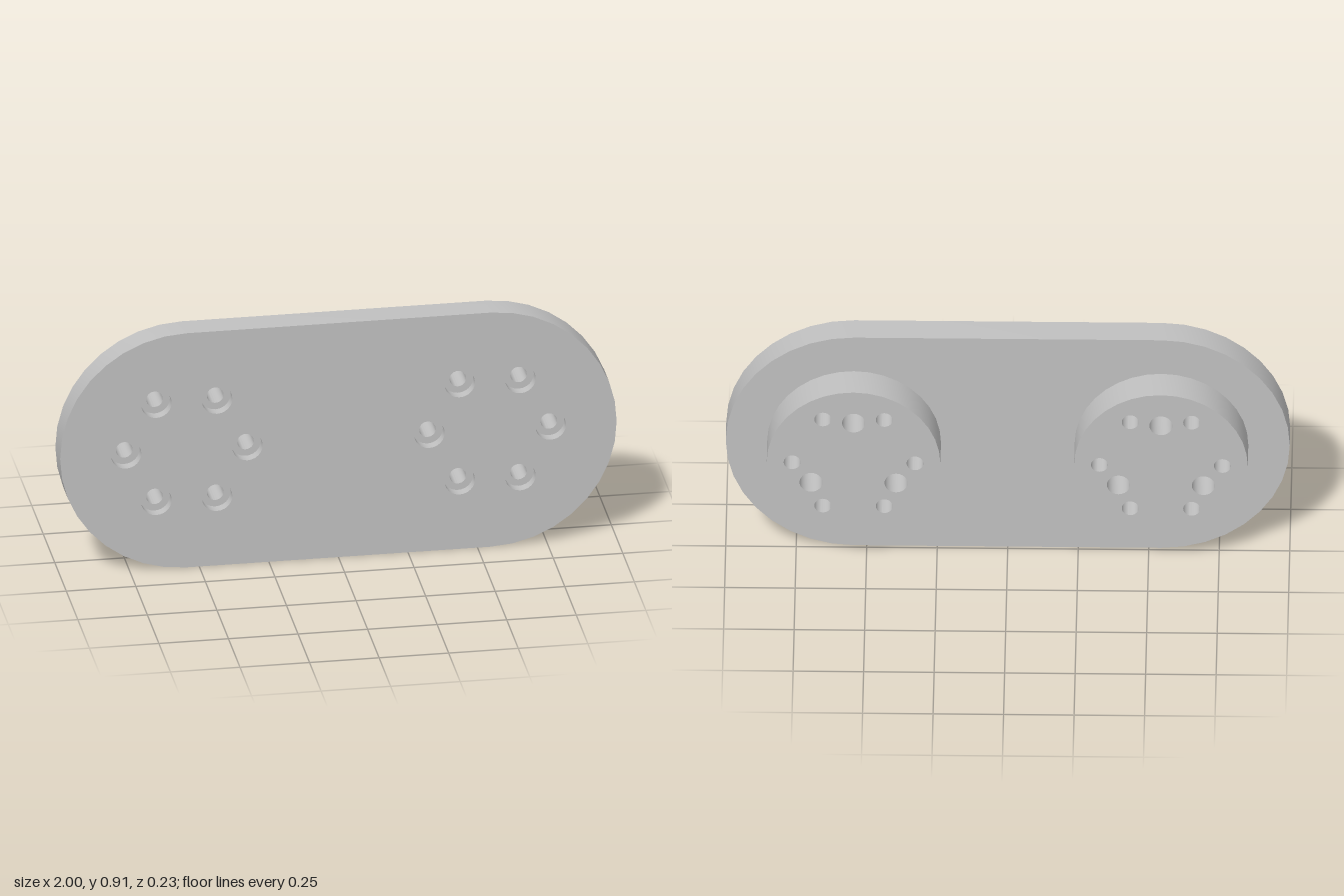
import * as THREE from 'three';
import { toCreasedNormals } from 'three/addons/utils/BufferGeometryUtils.js';

const R = 0.455, CX = 0.545, CY = 0.455;          // plate end radius, hub centres
const FRONT = 0.117, MID = 0.012, BACK = -0.117;  // z levels
const HUB_R = 0.308, HUB_SEG = 36;
const BOLT_R = 0.03, BORE_R = 0.055, BORE_Z = 0.077, BOLT_CIRCLE = 0.218;
const PIN_R = 0.041, PIN_CIRCLE = 0.174;
const HOLE_SEG = 24;

// Points along an arc, end point included
function arc(cx, cy, r, n, a0, a1) {
  const pts = [];
  for (let i = 0; i <= n; i++) {
    const a = a0 + (a1 - a0) * i / n;
    pts.push(new THREE.Vector2(cx + r * Math.cos(a), cy + r * Math.sin(a)));
  }
  return pts;
}
const circle = (x, y, r, n) => arc(x, y, r, n, 0, Math.PI * 2).slice(0, -1);

// Evenly spaced centres on a circle
function pattern(count, radius, start) {
  return Array.from({ length: count }, (_, i) => {
    const a = start + i * Math.PI * 2 / count;
    return [radius * Math.cos(a), radius * Math.sin(a)];
  });
}

// Flat face with holes, facing front or back
function face(outline, holes, z, back) {
  const shape = new THREE.Shape(outline);
  shape.holes = holes.map(h => new THREE.Path(h));
  const g = new THREE.ShapeGeometry(shape);
  if (back) g.rotateY(Math.PI);
  return g.translate(0, 0, z);
}

// Side wall of an extruded outline, without its end caps
function wall(outline, z0, z1) {
  const g = new THREE.ExtrudeGeometry(new THREE.Shape(outline), { depth: z1 - z0, bevelEnabled: false });
  const { start, count } = g.groups[1];
  const p = g.attributes.position.array.slice(start * 3, (start + count) * 3);
  const side = new THREE.BufferGeometry();
  side.setAttribute('position', new THREE.BufferAttribute(p, 3));
  return toCreasedNormals(side.translate(0, 0, z0), 0.5);
}

// Inside surface of a round hole from a [radius, z] profile
function liner(profile) {
  const g = new THREE.LatheGeometry(profile.map(([r, z]) => new THREE.Vector2(r, z)), HOLE_SEG);
  return toCreasedNormals(g.rotateX(Math.PI / 2), 0.5);
}

export function createModel() {
  const model = new THREE.Group();
  const grey = new THREE.MeshStandardMaterial({ color: 0xc0c0c0 });
  const add = (parent, name, geometry, x = 0, y = 0) => {
    const mesh = new THREE.Mesh(geometry, grey);
    mesh.name = name;
    mesh.position.set(x, y, 0);
    parent.add(mesh);
  };

  const bolts = pattern(6, BOLT_CIRCLE, 0);
  const pins = pattern(3, PIN_CIRCLE, Math.PI / 2);
  const sides = [-CX, CX];

  // Rounded-end plate
  const plate = new THREE.Group();
  plate.name = 'plate';
  plate.position.y = CY;
  model.add(plate);
  const outline = [
    ...arc(CX, 0, R, 18, -Math.PI / 2, Math.PI / 2),
    ...arc(-CX, 0, R, 18, Math.PI / 2, Math.PI * 1.5),
  ];
  const bores = sides.flatMap(s => bolts.map(([x, y]) => circle(s + x, y, BORE_R, HOLE_SEG)));
  add(plate, 'plateFront', face(outline, bores, FRONT, false));
  add(plate, 'plateBack', face(outline, sides.map(s => circle(s, 0, HUB_R, HUB_SEG)), MID, true));
  add(plate, 'plateRim', wall(outline, MID, FRONT));

  // Round hubs on the back, with counterbored bolt holes and blind pin holes
  const hubOutline = circle(0, 0, HUB_R, HUB_SEG);
  const hubHoles = [
    ...bolts.map(([x, y]) => circle(x, y, BOLT_R, HOLE_SEG)),
    ...pins.map(([x, y]) => circle(x, y, PIN_R, HOLE_SEG)),
  ];
  const hubFace = face(hubOutline, hubHoles, BACK, true);
  const hubWall = wall(hubOutline, BACK, MID);
  const boltHole = liner([[BORE_R, FRONT], [BORE_R, BORE_Z], [BOLT_R, BORE_Z], [BOLT_R, BACK]]);
  const pinHole = liner([[0, MID], [PIN_R, MID], [PIN_R, BACK]]);
  for (const s of sides) {
    const hub = new THREE.Group();
    hub.name = s > 0 ? 'leftHub' : 'rightHub';
    hub.position.set(s, CY, 0);
    model.add(hub);
    add(hub, 'hubFace', hubFace);
    add(hub, 'hubWall', hubWall);
    for (const [x, y] of bolts) add(hub, 'boltHole', boltHole, x, y);
    for (const [x, y] of pins) add(hub, 'pinHole', pinHole, x, y);
  }
  return model;
}
